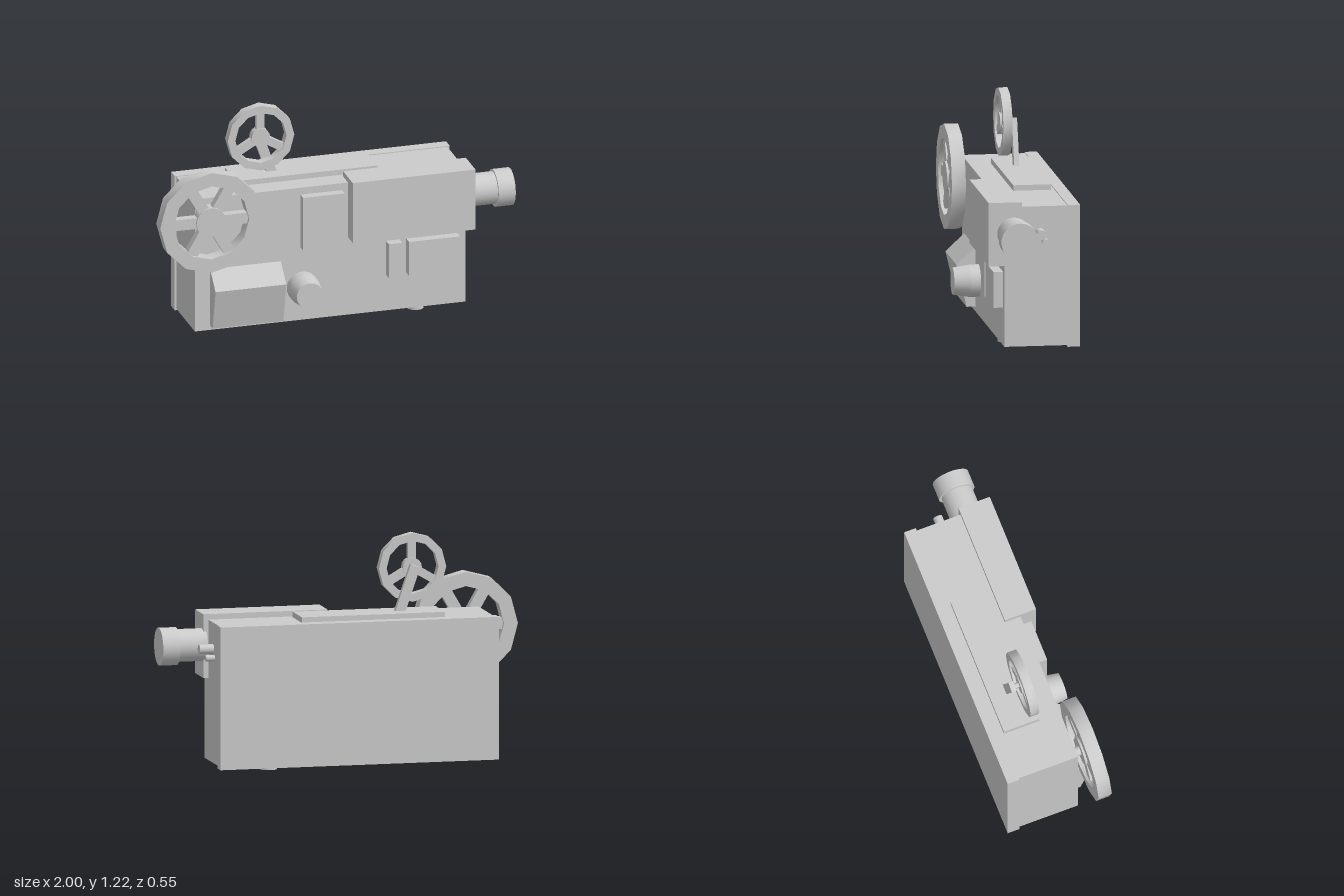
import * as THREE from 'three';
import { toCreasedNormals } from 'three/addons/utils/BufferGeometryUtils.js';

const material = new THREE.MeshStandardMaterial({ color: 0xcccccc });

function add(parent, name, geometry) {
  const mesh = new THREE.Mesh(geometry, material);
  mesh.name = name;
  parent.add(mesh);
  return mesh;
}

// Box given by its limits on each axis
function box(parent, name, [x0, x1], [y0, y1], [z0, z1]) {
  const mesh = add(parent, name, new THREE.BoxGeometry(x1 - x0, y1 - y0, z1 - z0));
  mesh.position.set((x0 + x1) / 2, (y0 + y1) / 2, (z0 + z1) / 2);
  return mesh;
}

// Cylinder from start to end along one axis; r1 is the radius at the end
function rod(parent, name, axis, start, end, [x, y, z], r0, r1 = r0, sides = 28) {
  const geometry = new THREE.CylinderGeometry(r1, r0, end - start, sides);
  if (axis === 'x') geometry.rotateZ(-Math.PI / 2);
  if (axis === 'z') geometry.rotateX(Math.PI / 2);
  const mesh = add(parent, name, geometry);
  mesh.position.set(x, y, z);
  mesh.position[axis] = (start + end) / 2;
  return mesh;
}

function ringPoints(radius, sides) {
  return Array.from({ length: sides }, (_, i) => {
    const a = (i / sides) * Math.PI * 2;
    return new THREE.Vector2(Math.cos(a) * radius, Math.sin(a) * radius);
  });
}

// Spoked film reel facing +z, centred on its own depth
function reel(name, { outer, inner, hub, depth, spokes, spokeWidth, startAngle }) {
  const group = new THREE.Group();
  group.name = name;
  const shape = new THREE.Shape(ringPoints(outer, 12));
  shape.holes.push(new THREE.Path(ringPoints(inner, 12).reverse()));
  const rim = new THREE.ExtrudeGeometry(shape, { depth, bevelEnabled: false });
  rim.translate(0, 0, -depth / 2);
  add(group, 'reelRim', toCreasedNormals(rim, 0.7));
  rod(group, 'reelHub', 'z', -depth * 0.45, depth * 0.45, [0, 0, 0], hub, hub, 16);
  const length = inner - hub + 0.02;
  for (let i = 0; i < spokes; i++) {
    const geometry = new THREE.BoxGeometry(length, spokeWidth, depth * 0.6);
    geometry.translate(hub - 0.015 + length / 2, 0, 0);
    add(group, 'reelSpoke', geometry).rotation.z = startAngle + (i / spokes) * Math.PI * 2;
  }
  return group;
}

export function createModel() {
  const model = new THREE.Group();
  model.name = 'filmProjector';

  // Case
  box(model, 'body', [-0.775, 0.737], [0.02, 0.78], [-0.21, 0.133]);
  box(model, 'backCover', [-0.785, 0.75], [0.013, 0.785], [-0.275, -0.208]);
  box(model, 'topPlate', [-0.51, 0.28], [0.775, 0.81], [-0.19, 0.015]);
  box(model, 'lampHousing', [0.08, 0.765], [0.465, 0.81], [0.043, 0.222]);

  // Raised front panels
  box(model, 'filmGate', [-0.185, 0.047], [0.437, 0.74], [0.12, 0.183]);
  box(model, 'switchPanel', [0.292, 0.367], [0.225, 0.42], [0.12, 0.185]);
  box(model, 'controlPanel', [0.405, 0.69], [0.225, 0.42], [0.12, 0.185]);

  // Wedge-shaped cover, cross-section drawn as (z, y) and swept along x
  const wedge = new THREE.Shape([
    new THREE.Vector2(0.12, 0.045), new THREE.Vector2(0.18, 0.045),
    new THREE.Vector2(0.235, 0.275), new THREE.Vector2(0.133, 0.37),
    new THREE.Vector2(0.12, 0.37),
  ]);
  const cover = new THREE.ExtrudeGeometry(wedge, { depth: 0.395, bevelEnabled: false });
  cover.rotateY(-Math.PI / 2);
  add(model, 'wedgeCover', cover).position.x = -0.295;

  // Dial
  rod(model, 'dialBase', 'z', 0.12, 0.185, [-0.175, 0.21, 0], 0.087);
  rod(model, 'dial', 'z', 0.185, 0.275, [-0.175, 0.21, 0], 0.087, 0.073);

  // Lens and side knobs
  rod(model, 'lensBarrel', 'x', 0.75, 0.91, [0, 0.64, 0.087], 0.088);
  rod(model, 'lensRing', 'x', 0.905, 1, [0, 0.637, 0.087], 0.102);
  rod(model, 'sideKnobLarge', 'x', 0.73, 0.815, [0, 0.637, -0.058], 0.026);
  rod(model, 'sideKnobSmall', 'x', 0.73, 0.785, [0, 0.592, -0.084], 0.017);

  // Large reel at the front
  const largeReel = reel('largeReel', {
    outer: 0.287, inner: 0.21, hub: 0.083, depth: 0.076,
    spokes: 6, spokeWidth: 0.062, startAngle: 0,
  });
  largeReel.position.set(-0.713, 0.678, 0.201);
  model.add(largeReel);
  rod(model, 'largeReelAxle', 'z', 0.12, 0.18, [-0.71, 0.678, 0], 0.027);

  // Small reel on its arm
  const smallReel = reel('smallReel', {
    outer: 0.186, inner: 0.143, hub: 0.052, depth: 0.05,
    spokes: 3, spokeWidth: 0.045, startAngle: Math.PI / 2,
  });
  smallReel.position.set(-0.365, 1.035, -0.027);
  model.add(smallReel);
  rod(model, 'smallReelAxle', 'z', -0.09, -0.03, [-0.365, 1.035, 0], 0.015);
  const arm = add(model, 'reelArm', new THREE.BoxGeometry(0.055, 0.27, 0.028));
  arm.position.set(-0.325, 0.922, -0.086);
  arm.rotation.z = 0.33;

  // Three feet
  for (const [x, z] of [[0.47, 0.082], [0.47, -0.208], [-0.5, -0.063]]) {
    rod(model, 'foot', 'y', 0, 0.03, [x, 0, z], 0.046);
  }
  return model;
}
